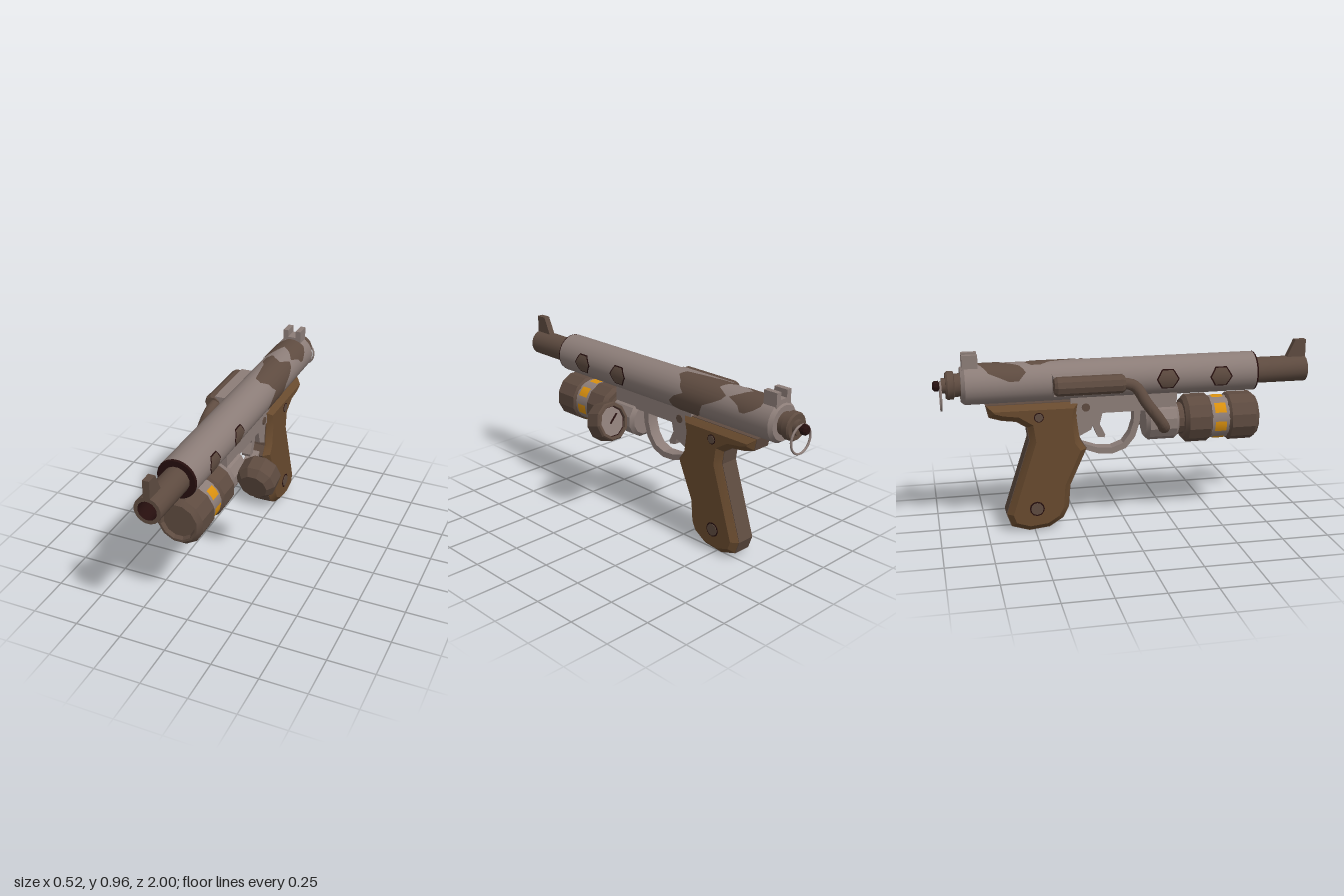
import * as THREE from 'three';
import { toCreasedNormals } from 'three/addons/utils/BufferGeometryUtils.js';

const CX = -0.05, BY = 0.805, CY = 0.56; // shared axis, barrel height, canister height

export function createModel() {
  const root = new THREE.Group();
  const mat = (name, color, side = THREE.FrontSide) => {
    const m = new THREE.MeshStandardMaterial({ color, side });
    m.name = name;
    return m;
  };
  const steel = mat('paleSteel', 0x8c7d78);
  const brown = mat('brownMetal', 0x5e4b40);
  const wood = mat('wood', 0x684a2e);
  const dark = mat('darkMetal', 0x260f0e);
  const amber = mat('amber', 0xd9900f);

  const add = (name, geo, m, parent = root) => {
    const mesh = new THREE.Mesh(toCreasedNormals(geo, 0.4), m);
    mesh.name = name;
    parent.add(mesh);
    return mesh;
  };
  // Lathe along z from [radius, z] pairs, z rising on the outside
  const turned = (name, m, pts, seg = 24, x = CX, y = BY, parent = root) => {
    const g = new THREE.LatheGeometry(pts.map(p => new THREE.Vector2(...p)), seg, Math.PI / seg);
    g.rotateX(Math.PI / 2).translate(x, y, 0);
    return add(name, g, m, parent);
  };
  const box = (name, m, x0, x1, y0, y1, z0, z1) => add(name,
    new THREE.BoxGeometry(x1 - x0, y1 - y0, z1 - z0)
      .translate((x0 + x1) / 2, (y0 + y1) / 2, (z0 + z1) / 2), m);
  // Side profile of [z, y] points extruded from x0 to x1
  const slab = (name, m, pts, x0, x1, bevel = 0, inset = 0) => {
    const shape = new THREE.Shape(pts.map(([z, y]) => new THREE.Vector2(-z, y)));
    const g = new THREE.ExtrudeGeometry(shape, {
      depth: x1 - x0 - 2 * bevel, bevelEnabled: bevel > 0, bevelSegments: 1,
      bevelThickness: bevel, bevelSize: bevel, bevelOffset: -bevel - inset,
    });
    g.rotateY(Math.PI / 2).translate(x0 + bevel, 0, 0);
    return add(name, g, m);
  };
  // Painted patch wrapped on a cylinder: rows of [degrees from top, z0, z1]
  const patch = (name, m, cy, r, rows) => {
    const pos = [], idx = [], N = 4;
    for (let i = 0; i < rows.length - 1; i++)
      for (let k = i ? 1 : 0; k <= N; k++) {
        const [a, z0, z1] = rows[i].map((v, j) => THREE.MathUtils.lerp(v, rows[i + 1][j], k / N));
        const t = THREE.MathUtils.degToRad(a);
        for (const z of [z0, z1]) pos.push(CX + r * Math.sin(t), cy + r * Math.cos(t), z);
      }
    for (let a = 0; a < pos.length / 3 - 2; a += 2) idx.push(a, a + 1, a + 2, a + 1, a + 3, a + 2);
    const g = new THREE.BufferGeometry();
    g.setAttribute('position', new THREE.Float32BufferAttribute(pos, 3));
    g.setIndex(idx);
    g.computeVertexNormals();
    return add(name, g, m);
  };
  const sideDisc = (name, m, r, x0, x1, y, z, seg = 12) => add(name,
    new THREE.CylinderGeometry(r, r, x1 - x0, seg).rotateZ(Math.PI / 2)
      .translate((x0 + x1) / 2, y, z), m);

  // Barrel shroud, muzzle and bore
  turned('barrelShroud', steel, [[0, -0.86], [0.09, -0.86], [0.105, -0.84], [0.105, 0.7]]);
  turned('shroudFront', dark, [[0.105, 0.7], [0.105, 0.705], [0.1, 0.71], [0.06, 0.71]]);
  turned('muzzle', brown, [[0.07, 0.7], [0.07, 1], [0.05, 1]], 16);
  turned('bore', dark, [[0.05, 1], [0.05, 0.85], [0, 0.85]], 16);

  // Hexagonal vents on both sides
  for (const s of [-90, 90])
    for (const z of [0.5, 0.21])
      for (const [k, m, r] of [[1, dark, 0.1065], [0.87, brown, 0.108]]) {
        const a = 29 * k, h = 0.031 * k, w = 0.062 * k;
        patch('vent', m, BY, r, [[s - a, z - h, z + h], [s, z - w, z + w], [s + a, z - h, z + h]]);
      }

  // Camouflage blotches
  patch('camoFront', brown, BY, 0.1075, [[-25, -0.5, -0.45], [-10, -0.53, -0.4], [5, -0.5, -0.22],
    [25, -0.48, -0.2], [45, -0.55, -0.24], [60, -0.53, -0.25], [75, -0.48, -0.28],
    [90, -0.42, -0.22], [110, -0.4, -0.18], [130, -0.38, -0.19], [150, -0.34, -0.23]]);
  patch('camoRear', brown, BY, 0.1075, [[-75, -0.62, -0.57], [-50, -0.72, -0.53], [-25, -0.75, -0.56],
    [0, -0.78, -0.66], [25, -0.77, -0.62], [45, -0.77, -0.57], [60, -0.74, -0.64], [75, -0.69, -0.66]]);

  // Sights
  slab('frontSight', brown, [[1, 0.86], [1, 0.965], [0.94, 0.965], [0.9, 0.88], [0.89, 0.86]], -0.067, -0.032);
  box('rearSightBase', steel, -0.1, 0.005, 0.87, 0.925, -0.85, -0.77);
  box('rearSightPost', steel, -0.1, -0.07, 0.92, 0.965, -0.85, -0.77);
  box('rearSightPost', steel, -0.025, 0.005, 0.92, 0.965, -0.85, -0.77);

  // Rear cap, knob and pull ring
  turned('rearCap', brown, [[0, -0.955], [0.04, -0.955], [0.04, -0.935], [0.066, -0.935],
    [0.073, -0.925], [0.073, -0.895], [0.06, -0.89], [0.06, -0.85]], 16);
  turned('rearKnob', dark, [[0, -1], [0.018, -1], [0.027, -0.99], [0.027, -0.97], [0.015, -0.965], [0.015, -0.95]], 10);
  add('pullRing', new THREE.TorusGeometry(0.073, 0.006, 6, 24).translate(CX, 0.75, -0.96), steel);

  // Under-barrel canister
  turned('canisterFront', brown, [[0.115, 0.55], [0.13, 0.565], [0.13, 0.695], [0.107, 0.72],
    [0.095, 0.72], [0.085, 0.7], [0, 0.7]], 12, CX, CY);
  turned('canisterBand', steel, [[0.115, 0.44], [0.115, 0.57]], 24, CX, CY);
  turned('canisterRear', brown, [[0, 0.31], [0.11, 0.31], [0.13, 0.33], [0.13, 0.445], [0.115, 0.46], [0.1, 0.46]], 12, CX, CY);
  turned('canisterFrontBack', brown, [[0.1, 0.55], [0.116, 0.55]], 12, CX, CY);
  for (let i = 0; i < 7; i++) {
    const a = 102 + i * 360 / 7;
    patch('canisterWindow', amber, CY, 0.118, [[a - 14, 0.472, 0.535], [a + 14, 0.472, 0.535]]);
  }
  turned('canisterNeck', brown, [[0.085, 0.27], [0.085, 0.32]], 12, CX, CY);
  turned('valveHousing', steel, [[0, 0.1], [0.085, 0.1], [0.105, 0.12], [0.105, 0.265], [0.09, 0.28], [0, 0.28]], 12, CX, CY);

  // Frame, trigger and guard
  box('valveBlock', steel, -0.11, 0.01, 0.56, 0.73, 0.11, 0.27);
  box('frame', steel, -0.11, 0.01, 0.63, 0.73, -0.3, 0.12);
  slab('frameRear', steel, [[-0.16, 0.64], [-0.19, 0.54], [-0.27, 0.5], [-0.3, 0.64]], -0.1, 0);
  slab('trigger', steel, [[-0.12, 0.64], [-0.14, 0.56], [-0.11, 0.5], [-0.115, 0.485],
    [-0.15, 0.49], [-0.18, 0.56], [-0.19, 0.64]], -0.075, -0.025);
  slab('triggerGuard', steel, [[0.08, 0.64], [0.075, 0.56], [0.05, 0.48], [0, 0.42], [-0.07, 0.395],
    [-0.15, 0.4], [-0.26, 0.44], [-0.26, 0.47], [-0.15, 0.432], [-0.075, 0.428],
    [-0.015, 0.45], [0.022, 0.5], [0.042, 0.565], [0.045, 0.64]], -0.083, -0.017);
  sideDisc('framePin', brown, 0.022, -0.115, 0.015, 0.665, -0.22);

  // Grip: wooden cheeks around a metal strap
  const grip = [[-0.25, 0.7], [-0.74, 0.7], [-0.725, 0.635], [-0.66, 0.615], [-0.585, 0.605],
    [-0.53, 0.57], [-0.52, 0.5], [-0.65, 0.1], [-0.625, 0.03], [-0.53, 0], [-0.42, 0.012],
    [-0.345, 0.06], [-0.315, 0.12], [-0.305, 0.24], [-0.215, 0.44], [-0.25, 0.49], [-0.265, 0.61]];
  slab('gripCheeks', wood, grip, -0.131, 0.036, 0.03, 0.003);
  slab('gripStrap', brown, grip, -0.098, 0.003);
  for (const [r, y, z] of [[0.026, 0.63, -0.47], [0.04, 0.13, -0.49]]) {
    sideDisc('gripScrewRim', dark, r, -0.133, 0.038, y, z);
    sideDisc('gripScrew', brown, r * 0.82, -0.136, 0.041, y, z);
  }

  // Left side cylinder, its mount and hose
  box('sideMount', steel, -0.2, -0.12, 0.755, 0.858, -0.4, -0.04);
  turned('sideCylinder', brown, [[0, -0.4], [0.04, -0.4], [0.05, -0.385], [0.05, -0.05], [0.04, -0.035], [0, -0.035]], 10, -0.212, 0.81);
  const hosePath = new THREE.CatmullRomCurve3([[-0.2, 0.81, -0.05], [-0.205, 0.79, 0.02], [-0.225, 0.7, 0.08],
    [-0.225, 0.62, 0.14], [-0.2, 0.56, 0.18], [-0.12, 0.54, 0.19]].map(p => new THREE.Vector3(...p)));
  add('hose', new THREE.TubeGeometry(hosePath, 24, 0.03, 16), brown);

  // Pressure gauge, dial tilted up toward the rear
  sideDisc('gaugePipe', brown, 0.035, 0.02, 0.12, CY, 0.2, 10);
  const gauge = new THREE.Group();
  gauge.name = 'gauge';
  gauge.position.set(0.152, 0.57, 0.2);
  gauge.rotation.x = 0.28;
  root.add(gauge);
  turned('gaugeCase', brown, [[0.085, -0.045], [0.085, -0.065], [0.1, -0.065], [0.107, -0.055],
    [0.107, 0.03], [0.075, 0.065], [0, 0.065]], 10, 0, 0, gauge);
  turned('gaugeDial', steel, [[0, -0.047], [0.087, -0.047]], 10, 0, 0, gauge);
  turned('gaugeRim', dark, [[0.08, -0.05], [0.087, -0.05]], 10, 0, 0, gauge);
  const needle = add('gaugeNeedle', new THREE.BoxGeometry(0.008, 0.07, 0.006).translate(0, 0.02, 0), dark, gauge);
  needle.position.z = -0.051;
  needle.rotation.z = 0.9;
  return root;
}
